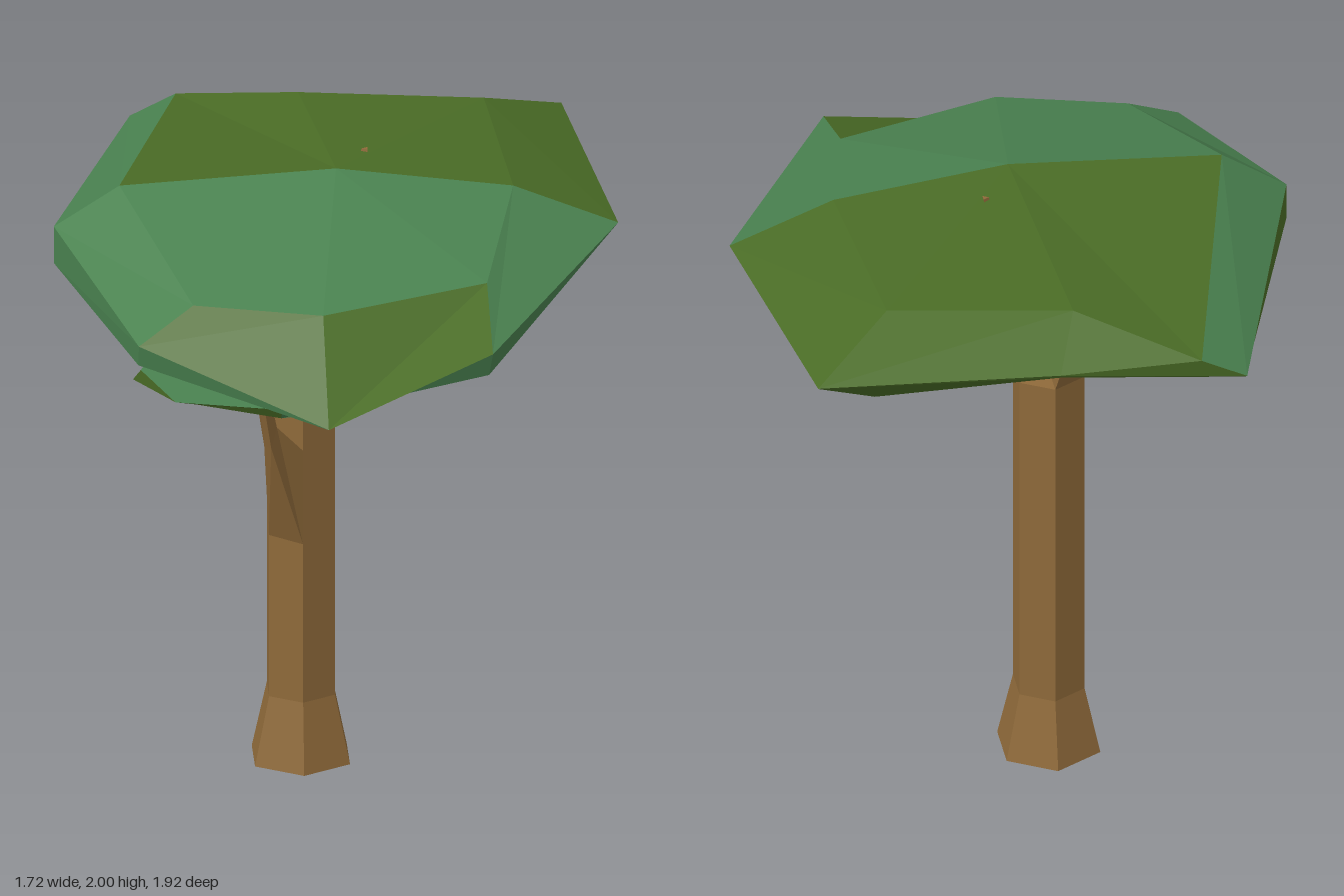
import * as THREE from 'three';

const BARK = 0x8f6a3a, LEAF = 0x4a8250, OLIVE = 0x4a6c26;

function addMesh(group, name, geometry, color) {
  const mesh = new THREE.Mesh(geometry, new THREE.MeshStandardMaterial({ color, flatShading: true }));
  mesh.name = name;
  group.add(mesh);
  return mesh;
}

// Joins rings of points, listed from top to bottom and clockwise seen from above.
// A ring of one point closes an end; keep(band, segment) selects faces.
function loft(rings, keep = () => true) {
  const pos = [];
  const tri = (a, b, c) => pos.push(...a, ...b, ...c);
  const n = Math.max(...rings.map((r) => r.length));
  for (let band = 0; band < rings.length - 1; band++) {
    const up = rings[band], low = rings[band + 1];
    for (let i = 0; i < n; i++) {
      if (!keep(band, i)) continue;
      const j = (i + 1) % n;
      if (up.length > 1) tri(up[i], up[j], low[j % low.length]);
      if (low.length > 1) tri(up[i % up.length], low[j], low[i]);
    }
  }
  const geometry = new THREE.BufferGeometry();
  geometry.setAttribute('position', new THREE.Float32BufferAttribute(pos, 3));
  geometry.computeVertexNormals();
  return geometry;
}

export function createModel() {
  const model = new THREE.Group();
  model.name = 'tree';
  const cx = -0.097, cz = -0.165, r = 0.116, top = 1.35;

  // Six-sided trunk with a flared foot
  const foot = addMesh(model, 'trunkFoot', new THREE.CylinderGeometry(r, 0.167, 0.22, 6), BARK);
  foot.position.set(cx, 0.11, cz);
  const trunk = addMesh(model, 'trunk', new THREE.CylinderGeometry(r, r, top - 0.22, 6), BARK);
  trunk.position.set(cx, (top + 0.22) / 2, cz);

  // Three upper limbs, each growing from every second side of the trunk
  const corner = (k) => [cx + r * Math.sin(k * Math.PI / 3), top, cz + r * Math.cos(k * Math.PI / 3)];
  const limbs = [
    [1, [0.1, 1.995, -0.165]],
    [3, [-0.2, 1.86, -0.43]],
    [5, [-0.2, 1.8, 0.06]],
  ];
  for (const [k, tip] of limbs) {
    const base = [corner(k + 1), corner(k), [cx, top, cz]];
    const mid = [0, 1, 2].map((a) => (base[0][a] + base[1][a] + base[2][a]) / 3);
    const end = base.map((p) => p.map((v, a) => tip[a] + (v - mid[a]) * 0.18));
    addMesh(model, 'upperLimb', loft([[tip], end, base]), BARK);
  }

  // Bent side branch, from its tip down to the trunk
  addMesh(model, 'sideBranch', loft([
    [[-0.25, 1.44, 0.117]],
    [[-0.27, 1.43, 0.12], [-0.25, 1.43, 0.1], [-0.235, 1.43, 0.11], [-0.25, 1.43, 0.135]],
    [[-0.22, 1.1, 0.02], [-0.21, 1.15, -0.02], [-0.18, 1.15, 0], [-0.2, 1.1, 0.045]],
    [[-0.198, 0.75, -0.108], [-0.198, 1.1, -0.108], [-0.097, 1.05, -0.05], [-0.097, 0.74, -0.05]],
  ]), BARK);

  // Main canopy: crown, shoulder, upper rim, lower rim, hollow underside
  const shoulder = [
    [-0.66, 1.96, 0], [-0.43, 1.855, -0.965], [-0.07, 1.94, -0.75], [0.49, 1.945, -0.66],
    [0.54, 1.93, 0], [0.43, 1.82, 0.5], [-0.08, 1.8, 0.68], [-0.47, 1.8, 0.575],
  ];
  const rim = [
    [-0.86, 1.83, 0], [-0.57, 1.785, -0.965], [0, 1.83, -0.935], [0.74, 1.83, -0.88],
    [0.86, 1.8, 0], [0.43, 1.71, 0.8], [-0.08, 1.54, 0.96], [-0.64, 1.7, 0.65],
  ];
  const lowerRim = [
    [-0.86, 1.71, 0], [-0.565, 1.78, -0.96], [0, 1.82, -0.93], [0.735, 1.825, -0.875],
    [0.85, 1.795, 0], [0.42, 1.63, 0.77], [-0.08, 1.525, 0.78], [-0.64, 1.63, 0.63],
  ];
  const under = [
    [-0.5, 1.71, 0], [-0.22, 1.75, -0.7], [-0.1, 1.75, -0.74], [0.53, 1.65, -0.68],
    [0.5, 1.7, 0], [0.3, 1.63, 0.5], [-0.08, 1.59, 0.5], [-0.4, 1.62, 0.45],
  ];
  const canopy = [[[0, 2, 0]], shoulder, rim, lowerRim, under, [[0, 1.76, 0]]];
  // Segments of each band that carry the cooler green
  const cool = [[4, 5, 6, 7], [0, 4, 7], [4, 5, 6, 7], [4], []];
  const isCool = (band, i) => cool[band].includes(i);
  addMesh(model, 'canopyCoolLeaves', loft(canopy, isCool), LEAF);
  addMesh(model, 'canopyOliveLeaves', loft(canopy, (band, i) => !isCool(band, i)), OLIVE);

  // Thin leaf layer on the side branch
  const upper = [
    [-0.61, 1.455, 0.25], [-0.49, 1.455, -0.1], [0.27, 1.455, 0.2],
    [0.05, 1.45, 0.5], [-0.2, 1.455, 0.59], [-0.52, 1.455, 0.51],
  ];
  const lower = [
    [-0.63, 1.4, 0.19], [-0.47, 1.43, -0.1], [0.27, 1.43, 0.2],
    [0.05, 1.415, 0.5], [-0.2, 1.415, 0.56], [-0.45, 1.4, 0.4],
  ];
  const layer = [[[-0.25, 1.475, 0.22]], upper, lower, [[-0.2, 1.4, 0.25]]];
  const isTop = (band, i) => band === 0 || (band === 1 && i < 4);
  addMesh(model, 'lowerLeafLayer', loft(layer, isTop), LEAF);
  addMesh(model, 'lowerLeafUnderside', loft(layer, (band, i) => !isTop(band, i)), OLIVE);

  return model;
}
